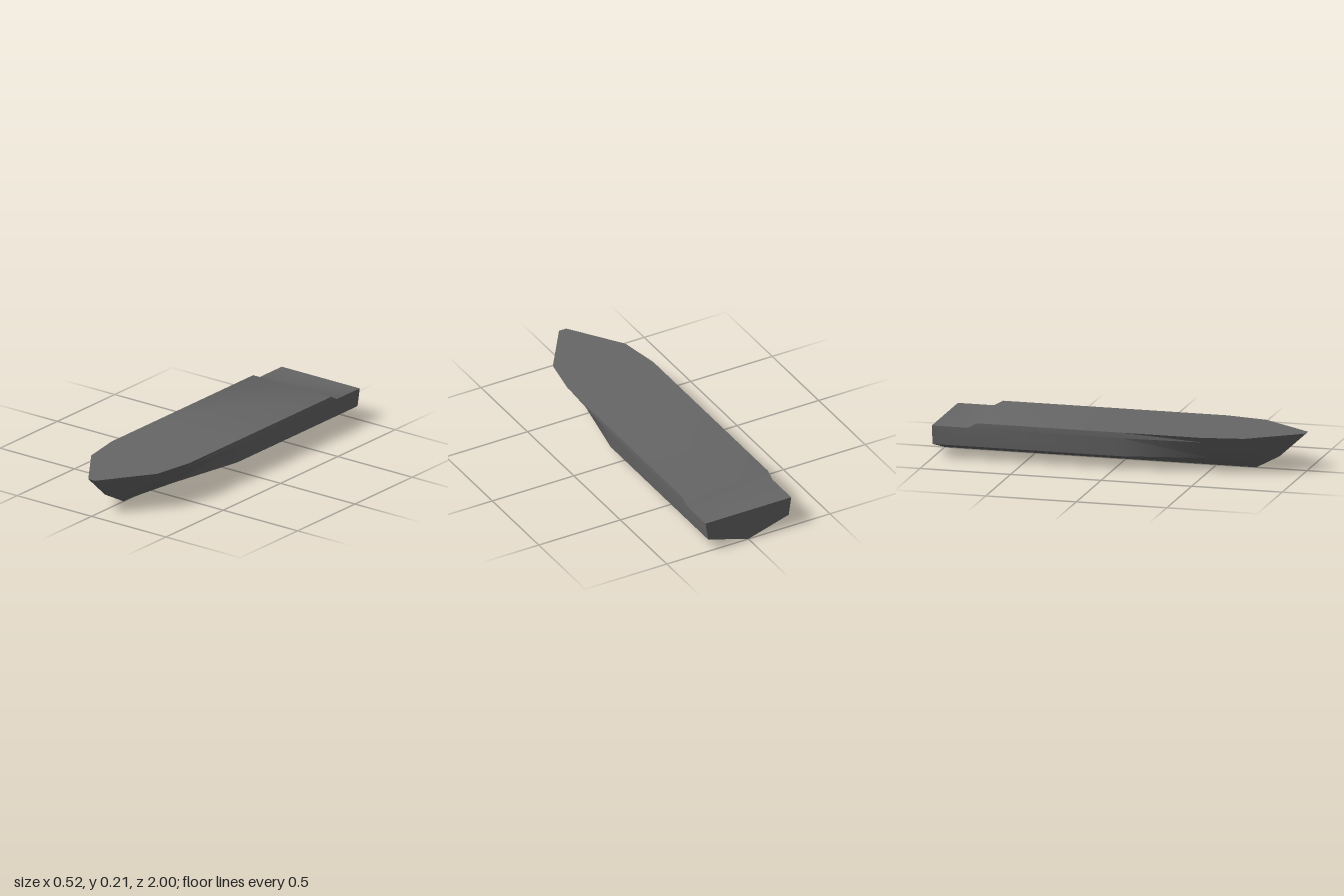
import * as THREE from 'three';
import { toCreasedNormals } from 'three/addons/utils/BufferGeometryUtils.js';

const CHINE_Y = 0.075;
const SHEER_Y = 0.177;

// Hull stations, stern to bow:
// [deck half width, deck y, deck z, chine half width, chine z, keel z]
const STATIONS = [
  [0.262, 0.18, -1, 0.247, -1, -1],
  [0.262, 0.18, -0.8, 0.247, -0.8, -0.8],
  [0.262, 0.208, -0.75, 0.247, -0.75, -0.75],
  [0.262, 0.208, 0.05, 0.247, 0.05, 0.05],
  [0.262, 0.208, 0.485, 0.16, 0.5, 0.48],
  [0.222, 0.208, 0.715, 0.105, 0.69, 0.64],
  [0.022, 0.208, 1, 0.022, 0.855, 0.72],
];

// Seven-point section: deck edge, sheer, chine, keel, then mirrored back up
function section([deckX, deckY, deckZ, chineX, chineZ, keelZ], index) {
  const deck = new THREE.Vector3(deckX, deckY, deckZ);
  const chine = new THREE.Vector3(chineX, CHINE_Y, chineZ);
  const sheer = deck.clone().lerp(chine, (deckY - SHEER_Y) / (deckY - CHINE_Y));
  if (index < 4) sheer.x = deckX;
  const half = [deck, sheer, chine];
  const mirrored = half.map((p) => new THREE.Vector3(-p.x, p.y, p.z)).reverse();
  return [...half, new THREE.Vector3(0, 0, keelZ), ...mirrored];
}

function hullGeometry() {
  const rings = STATIONS.map(section);
  const points = [];
  const tri = (a, b, c) => [a, b, c].forEach((p) => points.push(p.x, p.y, p.z));
  const quad = (a, b, c, d) => { tri(a, b, c); tri(a, c, d); };

  // Skin between neighbouring sections, including the deck
  for (let i = 0; i < rings.length - 1; i++) {
    const r = rings[i], s = rings[i + 1];
    for (let j = 0; j < r.length; j++) {
      const k = (j + 1) % r.length;
      // Mirror the diagonal on the other side
      if (j < 3) quad(r[j], s[j], s[k], r[k]);
      else quad(s[j], s[k], r[k], r[j]);
    }
  }

  // Transom and blunt bow
  const cap = (r) => {
    quad(r[0], r[1], r[5], r[6]);
    quad(r[1], r[2], r[4], r[5]);
    tri(r[2], r[3], r[4]);
  };
  cap(rings[0]);
  cap([...rings[rings.length - 1]].reverse());

  const geometry = new THREE.BufferGeometry();
  geometry.setAttribute('position', new THREE.Float32BufferAttribute(points, 3));
  return toCreasedNormals(geometry, 0.6);
}

export function createModel() {
  const group = new THREE.Group();
  group.name = 'boatHull';
  const hull = new THREE.Mesh(hullGeometry(), new THREE.MeshStandardMaterial({ color: 0x666666 }));
  hull.name = 'hull';
  group.add(hull);
  return group;
}
